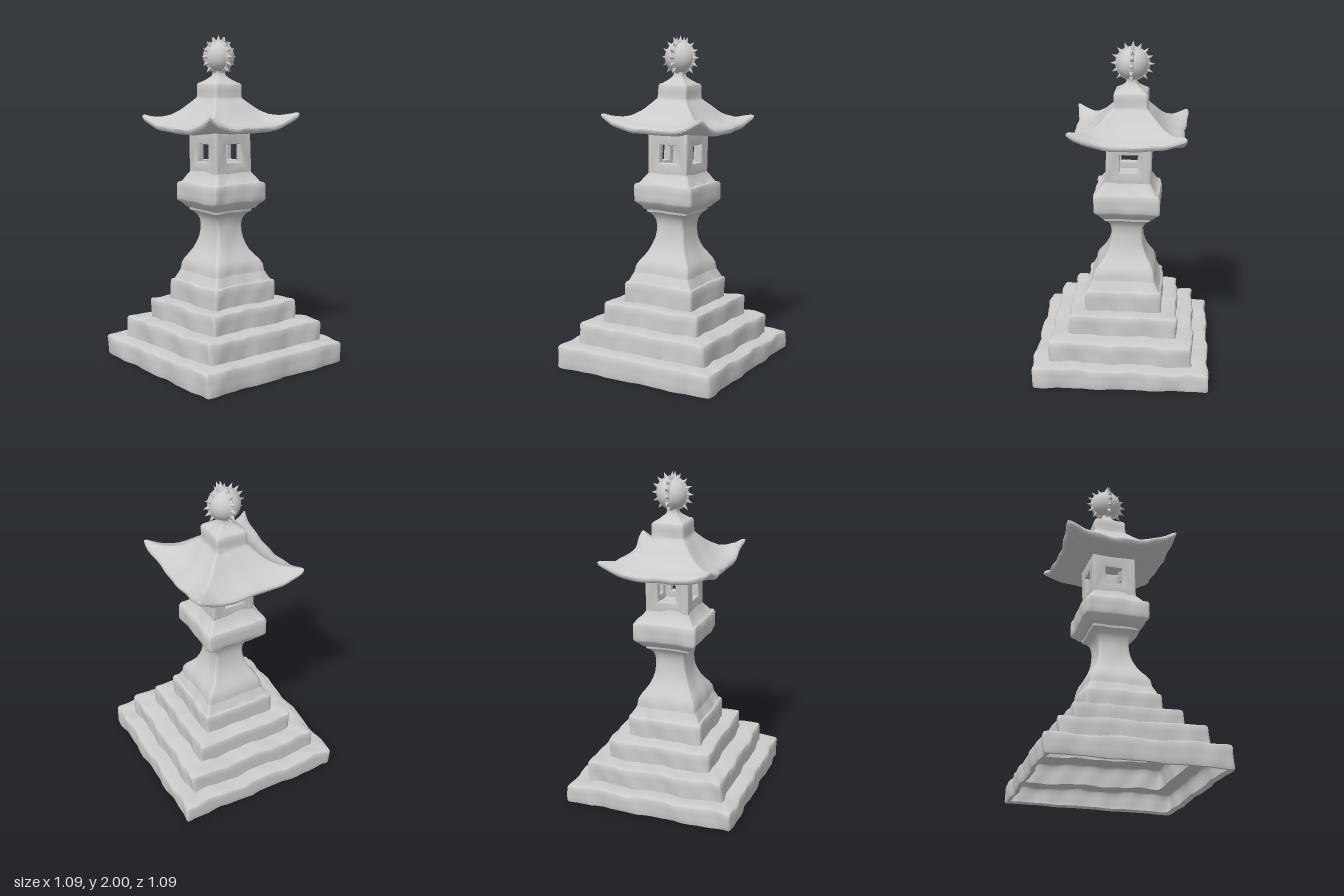
import * as THREE from 'three';
import { toCreasedNormals } from 'three/addons/utils/BufferGeometryUtils.js';

const stone = new THREE.MeshStandardMaterial({ color: 0xcccccc });
const shell = new THREE.MeshStandardMaterial({ color: 0xcccccc, side: THREE.DoubleSide });

// Hand-cut waviness plus the slight lean of an old, settled lantern
function weather(geo, rough = 1) {
  const p = geo.attributes.position;
  for (let i = 0; i < p.count; i++) {
    const x = p.getX(i), y = p.getY(i), z = p.getZ(i);
    const amp = rough * (0.001 + 0.010 * Math.min(0.5, Math.hypot(x, z)));
    const up = Math.min(1, y / 0.1);
    const wx = Math.sin(17 * z + 9 * y) + 0.6 * Math.sin(41 * z + 23 * y + 1) + 0.4 * Math.sin(33 * x + 2);
    const wz = Math.sin(19 * x + 11 * y + 2) + 0.6 * Math.sin(37 * x - 21 * y) + 0.4 * Math.sin(31 * z);
    const wy = Math.sin(15 * x + 3) + Math.sin(18 * z + 1) + 0.5 * Math.sin(39 * (x + z));
    p.setXYZ(i,
      x + amp * wx - 0.028 * y,
      y + up * (0.7 * amp * wy + 0.025 * x + 0.006 * z),
      z + amp * wz - 0.006 * y);
  }
  return geo;
}

// Points [x, z] around a square of half-width 1, crowded near the corners
const SIDE = 28;
const unitSquare = [];
for (let s = 0; s < 4; s++) {
  for (let i = 0; i < SIDE; i++) {
    const t = Math.sin((i / SIDE - 0.5) * Math.PI);
    unitSquare.push([[t, 1], [1, -t], [-t, -1], [-1, t]][s]);
  }
}

// Round-cornered square sections stacked along a profile of [half-width, y]
function squareLoft(profile, reshape = (x, y, z) => [x, y, z]) {
  const rows = [profile[0]];
  for (let i = 1; i < profile.length; i++) {
    const [h0, y0] = profile[i - 1], [h1, y1] = profile[i];
    const n = Math.max(1, Math.ceil(Math.hypot(h1 - h0, y1 - y0) / 0.04));
    for (let k = 1; k <= n; k++) rows.push([h0 + (h1 - h0) * k / n, y0 + (y1 - y0) * k / n]);
  }
  const pos = [], index = [], n = unitSquare.length;
  rows.forEach(([h, y], r) => {
    const round = Math.min(0.014, h * 0.5), inner = h - round;
    unitSquare.forEach(([u, v], j) => {
      const qx = THREE.MathUtils.clamp(u * h, -inner, inner);
      const qz = THREE.MathUtils.clamp(v * h, -inner, inner);
      const d = Math.hypot(u * h - qx, v * h - qz) || 1;
      pos.push(...reshape(qx + (u * h - qx) / d * round, y, qz + (v * h - qz) / d * round, h));
      if (r === rows.length - 1) return;
      const a = r * n + j, b = r * n + (j + 1) % n;
      index.push(a, b, a + n, b, b + n, a + n);
    });
  });
  const geo = new THREE.BufferGeometry();
  geo.setAttribute('position', new THREE.Float32BufferAttribute(pos, 3));
  geo.setIndex(index);
  return geo;
}

// One worn stair block: a wall with a softened top edge
const step = (h, y0, y1) => [[h, y0], [h, y1 - 0.014], [h - 0.005, y1 - 0.004], [h - 0.016, y1]];

export function createModel() {
  const model = new THREE.Group();
  model.name = 'stoneLantern';
  const add = (name, geo, mat = stone, rough = 1, crease = 0.75) => {
    const mesh = new THREE.Mesh(toCreasedNormals(weather(geo, rough), crease), mat);
    mesh.name = name;
    model.add(mesh);
  };

  // Hollow stepped plinth, open underneath
  add('steppedBase', squareLoft([
    [0.495, 0.012], [0.51, 0], [0.522, 0.002], ...step(0.525, 0.012, 0.13),
    ...step(0.43, 0.13, 0.255), ...step(0.324, 0.258, 0.38),
    ...step(0.232, 0.382, 0.51), [0.19, 0.565],
  ]), shell);

  // Waisted post flaring into the block under the light chamber
  add('post', squareLoft([
    [0.19, 0.565], [0.183, 0.61], [0.168, 0.64], [0.146, 0.67], [0.127, 0.70], [0.112, 0.735],
    [0.101, 0.77], [0.095, 0.81], [0.093, 0.85], [0.098, 0.885], [0.11, 0.912],
    [0.128, 0.93], [0.14, 0.938], [0.142, 0.952], [0.155, 0.957], [0.172, 0.98],
    [0.194, 1.0], [0.198, 1.01], [0.198, 1.1], [0.192, 1.113], [0.175, 1.118],
    [0.155, 1.15], [0.135, 1.178], [0.13, 1.2], [0.002, 1.2],
  ]), shell);

  // Light chamber: four walls, each with a square window
  const half = 0.135, bevel = 0.008, e = half - bevel, w = 0.062;
  const wall = new THREE.Shape([[-e, 1.18], [e, 1.18], [e, 1.43], [-e, 1.43]]
    .map(([x, y]) => new THREE.Vector2(x, y)));
  wall.holes.push(new THREE.Path([[-w, 1.233], [-w, 1.357], [w, 1.357], [w, 1.233]]
    .map(([x, y]) => new THREE.Vector2(x, y))));
  for (let i = 0; i < 4; i++) {
    const geo = new THREE.ExtrudeGeometry(wall, {
      depth: 0.03, bevelEnabled: true, bevelSize: bevel, bevelThickness: bevel, bevelSegments: 2,
    });
    geo.translate(0, 0, half - 0.03 - bevel).rotateY(i * Math.PI / 2);
    add('chamberWall' + (i + 1), geo, stone, 0.6);
  }

  // Roof: concave slopes, eaves swept up and out at the corners, square cap and neck
  const sweep = (x, y, z, h) => {
    const corner = Math.min(Math.abs(x), Math.abs(z)) / h;
    const c = Math.pow(corner, 3) * Math.pow(Math.min(1, h / 0.325), 3);
    return [x * (1 + 0.06 * c), y + 0.075 * c, z * (1 + 0.06 * c)];
  };
  add('roof', squareLoft([
    [0.002, 1.425], [0.14, 1.42], [0.28, 1.417], [0.312, 1.421], [0.325, 1.434], [0.326, 1.448],
    [0.316, 1.46], [0.29, 1.467], [0.25, 1.482], [0.21, 1.508], [0.175, 1.54],
    [0.14, 1.58], [0.112, 1.61], [0.102, 1.622], [0.1, 1.63], [0.099, 1.7], [0.093, 1.71],
    [0.08, 1.715], [0.05, 1.738], [0.034, 1.755], [0.03, 1.775], [0.035, 1.8], [0.002, 1.81],
  ], sweep));

  // Finial: a ball with two crossed ridges of thorns
  const cy = 1.868, R = 0.094;
  add('finialBall', new THREE.SphereGeometry(R, 32, 24).translate(0, cy, 0), stone, 0.5, 1);
  for (let r = 0; r < 2; r++) {
    const turn = r * Math.PI / 2;
    add('finialRidge' + (r + 1),
      new THREE.TorusGeometry(R - 0.003, 0.011, 8, 48).rotateY(turn).translate(0, cy, 0), stone, 0.5, 1);
    for (let i = -6; i <= 6; i++) {
      if (r === 1 && i === 0) continue;
      const thorn = new THREE.ConeGeometry(0.016, 0.045, 10).translate(0, R + 0.0145, 0);
      thorn.rotateZ(i * Math.PI / 8).rotateY(turn).translate(0, cy, 0);
      add('finialThorn', thorn, stone, 0.5, 1);
    }
  }

  model.rotation.y = -0.028;
  return model;
}
